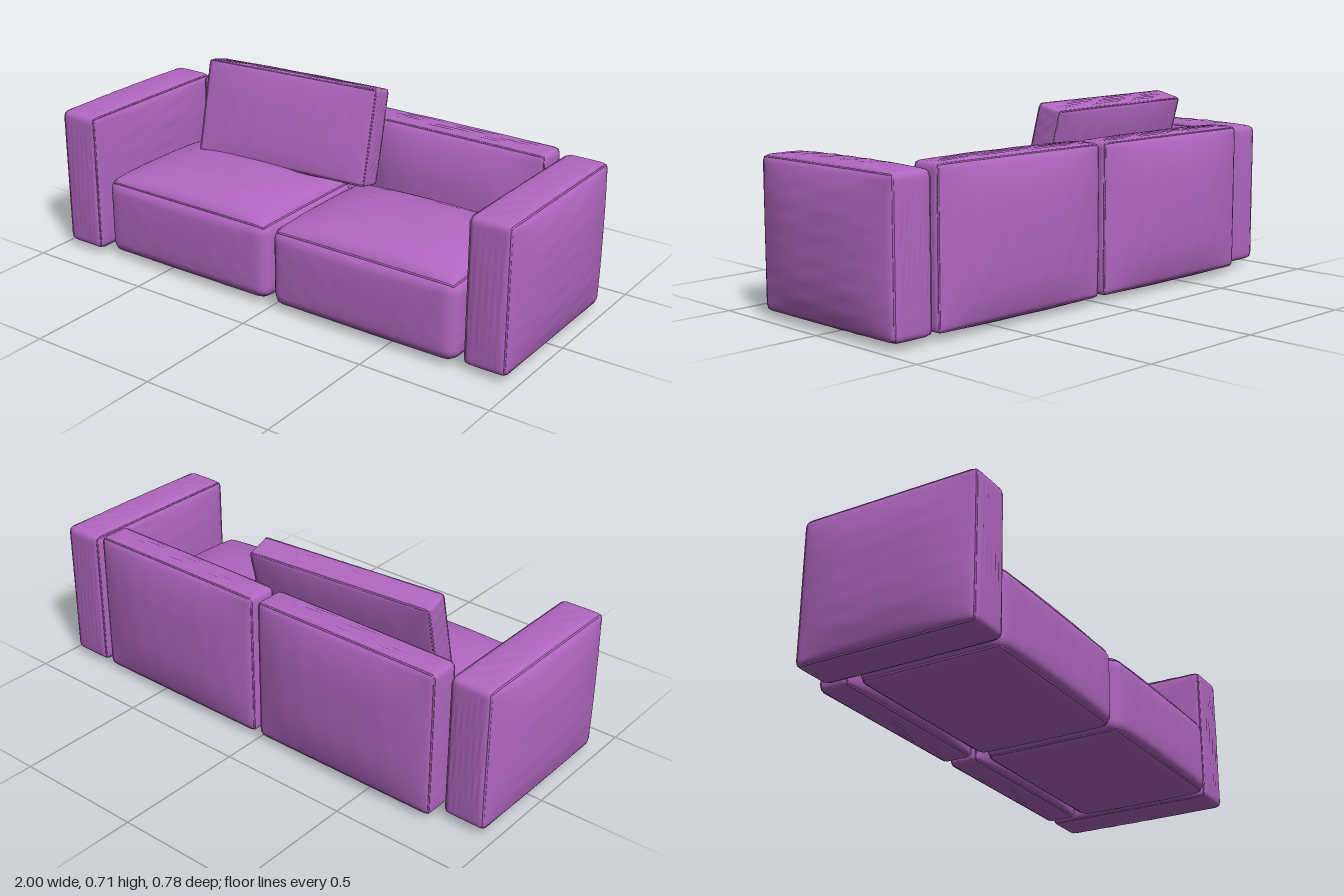
import * as THREE from 'three';
import { mergeVertices } from 'three/addons/utils/BufferGeometryUtils.js';

const fabric = new THREE.MeshStandardMaterial({ color: 0xb166c0 });
const AXES = ['x', 'y', 'z'];

// Padded block: core spans min..max, r rounds the edges, puff swells the faces
// in the order [+x, -x, +y, -y, +z, -z]; pipeAxis is the axis whose two faces get seams.
function cushion(name, min, max, r, puff, pipeAxis, folds = 0.002) {
  const lo = new THREE.Vector3(...min), hi = new THREE.Vector3(...max);
  const mid = lo.clone().add(hi).multiplyScalar(0.5);
  const half = hi.clone().sub(lo).multiplyScalar(0.5);

  // maps a point of the cube -1..1 to the padded surface
  const pad = (u) => {
    const flat = u.clone().multiply(half);
    const core = new THREE.Vector3();
    AXES.forEach((a) => {
      const c = half[a] - r;
      core[a] = THREE.MathUtils.clamp(flat[a], -c, c);
    });
    const out = flat.sub(core);
    if (out.lengthSq() > 0) out.setLength(r);
    const p = core.add(out);
    AXES.forEach((a, i) => {
      const b = AXES[(i + 1) % 3], c = AXES[(i + 2) % 3];
      const swell = (1 - Math.abs(u[b]) ** 3) * (1 - Math.abs(u[c]) ** 3);
      const amount = u[a] > 0 ? puff[2 * i] : puff[2 * i + 1];
      const wave = folds * Math.sin(23 * u[b] + 3 * u[c] + i + mid.x * 5) * Math.cos(5 * u[c] + 2 * u[b]);
      p[a] += u[a] * swell * (amount + wave);
    });
    return p;
  };
  // crowds the grid towards the edges
  const spread = (t) => Math.sign(t) * (1 - (1 - Math.abs(t)) ** 1.8);

  let geo = new THREE.BoxGeometry(2, 2, 2, 32, 32, 32);
  geo.deleteAttribute('normal');
  geo.deleteAttribute('uv');
  geo = mergeVertices(geo);
  const pos = geo.attributes.position, u = new THREE.Vector3();
  for (let i = 0; i < pos.count; i++) {
    u.fromBufferAttribute(pos, i);
    const p = pad(u.set(spread(u.x), spread(u.y), spread(u.z)));
    pos.setXYZ(i, p.x, p.y, p.z);
  }
  geo.computeVertexNormals();

  const group = new THREE.Group();
  group.name = name;
  group.position.copy(mid);
  const body = new THREE.Mesh(geo, fabric);
  body.name = name + 'Padding';
  group.add(body);

  // piped seam round each of the two faces
  const b = AXES[(pipeAxis + 1) % 3], c = AXES[(pipeAxis + 2) % 3];
  const corners = [[-1, -1], [1, -1], [1, 1], [-1, 1]];
  for (const side of [-1, 1]) {
    const points = [];
    corners.forEach(([p, q], k) => {
      const [p2, q2] = corners[(k + 1) % 4];
      for (let s = 0; s < 16; s++) {
        const t = (spread((s / 16) * 2 - 1) + 1) / 2;
        const e = new THREE.Vector3();
        e[AXES[pipeAxis]] = side;
        e[b] = p + (p2 - p) * t;
        e[c] = q + (q2 - q) * t;
        points.push(pad(e));
      }
    });
    const curve = new THREE.CatmullRomCurve3(points, true);
    const seam = new THREE.Mesh(new THREE.TubeGeometry(curve, 160, 0.0035, 6, true), fabric);
    seam.name = name + 'Seam';
    group.add(seam);
  }
  return group;
}

export function createModel() {
  const sofa = new THREE.Group();
  sofa.name = 'sofa';

  // arms, set slightly out of line with each other
  sofa.add(cushion('leftArm', [0.8, 0.03, -0.352], [0.962, 0.57, 0.335], 0.022,
    [0.037, 0.02, 0.012, 0.006, 0.006, 0.006], 0));
  sofa.add(cushion('rightArm', [-0.962, 0.03, -0.302], [-0.8, 0.57, 0.38], 0.022,
    [0.02, 0.037, 0.012, 0.006, 0.006, 0.006], 0));

  for (const [label, x0, x1] of [['left', 0.012, 0.775], ['right', -0.775, -0.012]]) {
    // crowned seat block
    sofa.add(cushion(label + 'Seat', [x0, 0.025, -0.2], [x1, 0.325, 0.355], 0.045,
      [0.01, 0.01, 0.06, 0.016, 0.012, 0.01], 1));
    // upright back cushion, swollen front and rear
    sofa.add(cushion(label + 'Back', [x0, 0.03, -0.35], [x1, 0.585, -0.23], 0.02,
      [0.004, 0.004, 0.006, 0.006, 0.058, 0.037], 2));
  }

  // loose pillow leaning on the back
  const pillow = cushion('loosePillow', [-0.37, -0.182, -0.05], [0.37, 0.182, 0.05], 0.012,
    [0.003, 0.003, 0.004, 0.004, 0.016, 0.016], 2);
  pillow.position.set(-0.25, 0.532, -0.125);
  pillow.rotation.set(-0.25, 0.085, 0, 'YXZ');
  sofa.add(pillow);

  return sofa;
}
